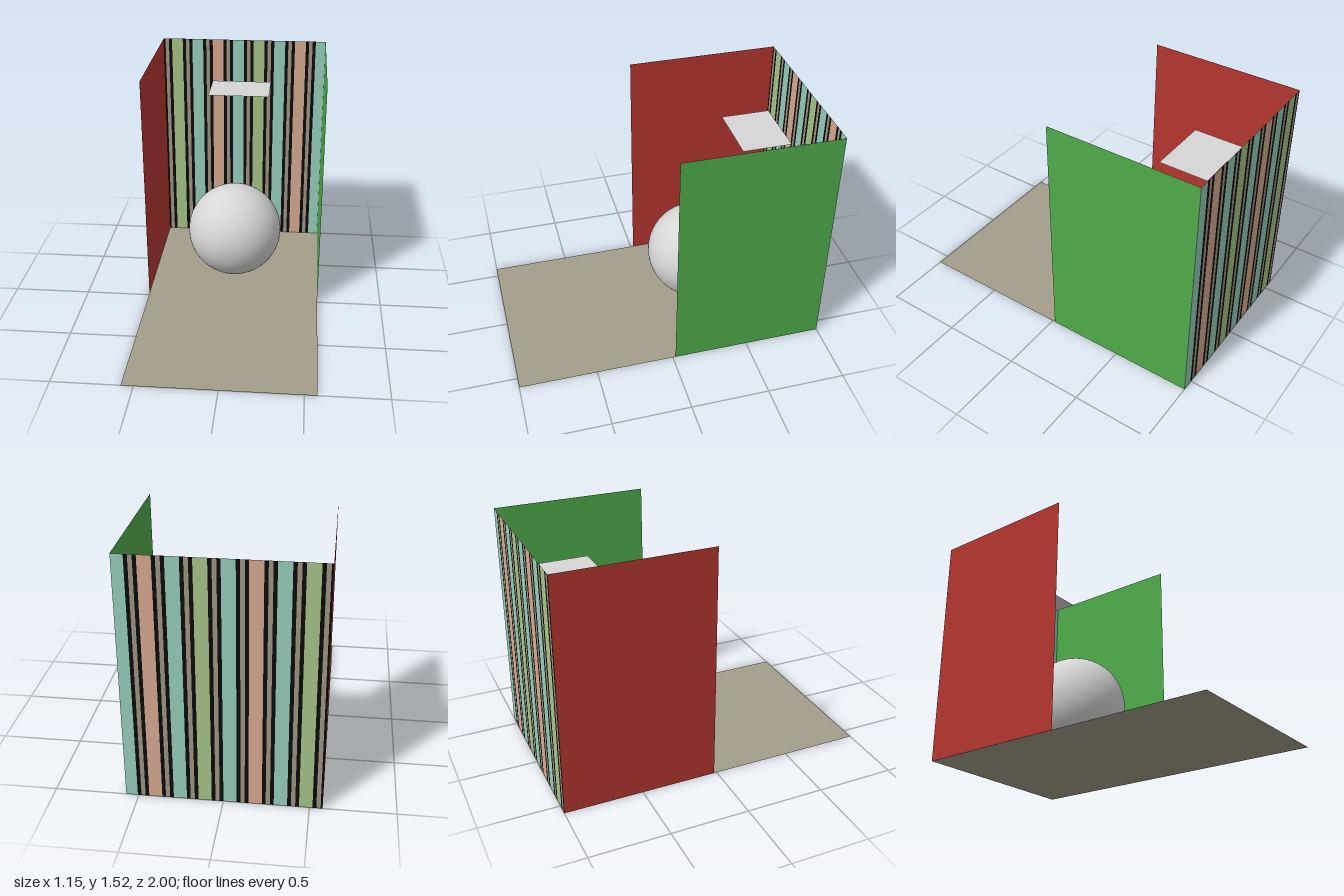
import * as THREE from 'three';

const mat = (name, color) => {
  const m = new THREE.MeshStandardMaterial({ color, side: THREE.DoubleSide });
  m.name = name;
  return m;
};

export function createModel() {
  const group = new THREE.Group();
  group.name = 'openRoom';

  const white = mat('white', 0xd6d6d6);
  const floorGrey = mat('floorGrey', 0xa39f8a);
  const red = mat('red', 0xb53630);
  const green = mat('green', 0x4fac4b);
  const black = mat('black', 0x0a0a0a);
  const stripeGrey = mat('stripeGrey', 0x9f9581);
  const paleGreen = mat('paleGreen', 0xa7c588);
  const teal = mat('teal', 0x97cfbc);
  const salmon = mat('salmon', 0xd7ab91);

  const W = 0.576, H = 1.525, BACK = -1, FRONT = -0.018;

  const panel = (name, w, h, material, pos, rot = [0, 0, 0]) => {
    const mesh = new THREE.Mesh(new THREE.PlaneGeometry(w, h), material);
    mesh.name = name;
    mesh.position.set(...pos);
    mesh.rotation.set(...rot);
    group.add(mesh);
    return mesh;
  };

  // Floor and side walls
  const depth = FRONT - BACK, midZ = (FRONT + BACK) / 2;
  panel('floor', 2 * W, 2, floorGrey, [0, 0, 0], [-Math.PI / 2, 0, 0]);
  panel('leftWall', depth, H, green, [W, H / 2, midZ], [0, -Math.PI / 2, 0]);
  panel('rightWall', depth, H, red, [-W, H / 2, midZ], [0, Math.PI / 2, 0]);

  // Striped back wall: black, grey, black, then a wide colour band
  const backWall = new THREE.Group();
  backWall.name = 'backWall';
  group.add(backWall);
  const bands = [paleGreen, teal, salmon, teal];
  const thin = 0.022, grey = 0.0248, wide = 0.0776;
  let x = -0.518 - 2 * thin - grey;
  for (let i = 0; i < 8; i++) {
    const run = [[thin, black], [grey, stripeGrey], [thin, black], [wide, bands[i % 4]]];
    for (const [width, material] of run) {
      const a = Math.max(x, -W);
      const b = Math.min(x + width, W);
      x += width;
      if (b > a) backWall.add(panel('stripe', b - a, H, material, [(a + b) / 2, H / 2, BACK]));
    }
  }

  // Ceiling light panel
  panel('lightPanel', 0.41, 0.315, white, [-0.004, 1.27, -0.687], [-Math.PI / 2, 0, 0]);

  // Floating ball
  const ball = new THREE.Mesh(new THREE.SphereGeometry(0.317, 64, 40), white);
  ball.name = 'ball';
  ball.position.set(-0.01, 0.375, -0.315);
  group.add(ball);

  return group;
}
